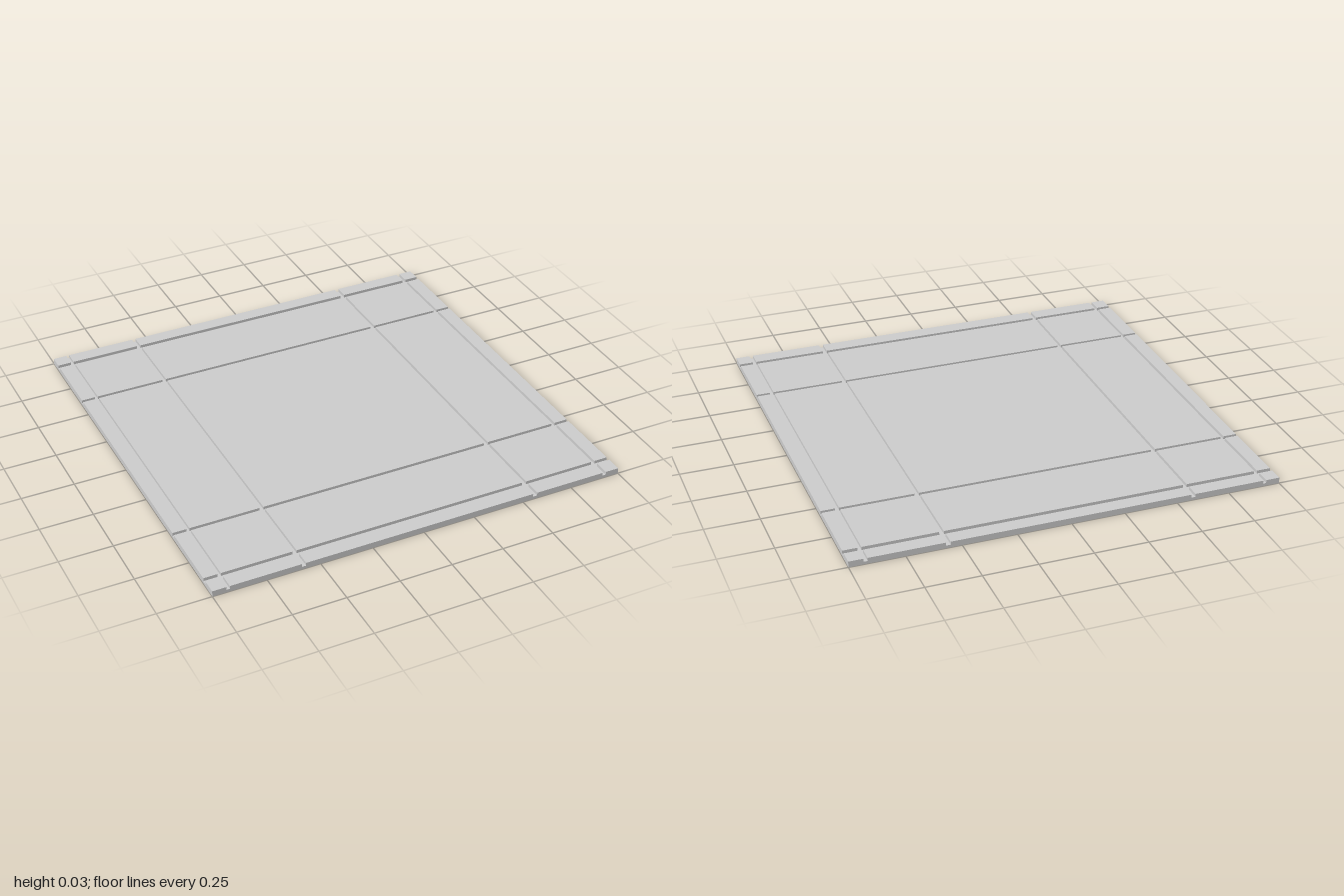
import * as THREE from 'three';

const BASE_TOP = 0.013;
const TOP = 0.028;

// start and end of each tile column (x) and row (z); the gaps are the grooves
const COLUMNS = [[-1, -0.935], [-0.92, -0.587], [-0.568, 0.551], [0.572, 0.916], [0.934, 1]];
const ROWS = [[-1, -0.932], [-0.91, -0.588], [-0.572, 0.562], [0.578, 0.905], [0.926, 1]];

const material = new THREE.MeshStandardMaterial({ color: 0xcccccc, flatShading: true });

function slab(name, [x0, x1], [y0, y1], [z0, z1]) {
  const mesh = new THREE.Mesh(new THREE.BoxGeometry(x1 - x0, y1 - y0, z1 - z0), material);
  mesh.position.set((x0 + x1) / 2, (y0 + y1) / 2, (z0 + z1) / 2);
  mesh.name = name;
  return mesh;
}

export function createModel() {
  const group = new THREE.Group();
  group.name = 'floorPanel';

  // solid plate under the tiles, forming the groove floors
  group.add(slab('basePlate', [-1, 1], [0, BASE_TOP], [-1, 1]));

  // raised tiles: corners, border strips and inner panels
  const last = COLUMNS.length - 1;
  COLUMNS.forEach((xs, i) => ROWS.forEach((zs, j) => {
    const outerX = i === 0 || i === last;
    const outerZ = j === 0 || j === last;
    const name = outerX && outerZ ? 'cornerTile' : outerX || outerZ ? 'borderTile' : 'innerTile';
    group.add(slab(name, xs, [BASE_TOP, TOP], zs));
  }));

  return group;
}
